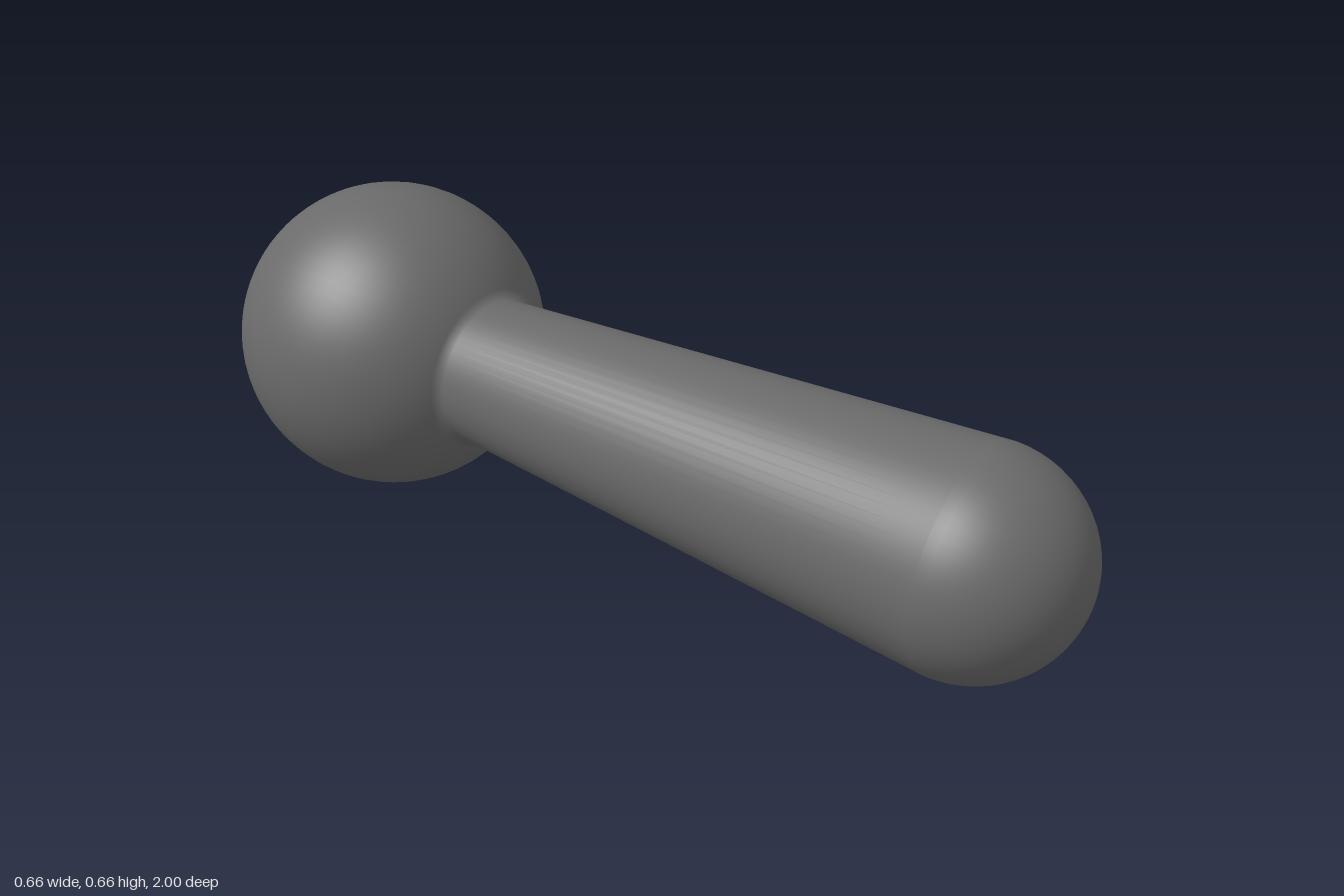
import * as THREE from 'three';

const BALL_R = 0.332, TIP_R = 0.226, NECK_R = 0.157;
const BALL_Z = -1 + BALL_R, TIP_Z = 1 - TIP_R;

// Points (radius, axial position) on a circular arc centred on the axis
function arc(centre, radius, from, to, steps) {
  return Array.from({ length: steps + 1 }, (_, i) => {
    const a = from + (to - from) * i / steps;
    return new THREE.Vector2(Math.max(0, radius * Math.sin(a)), centre - radius * Math.cos(a));
  });
}

export function createModel() {
  const group = new THREE.Group();
  group.name = 'ballEndedHandle';

  // One smooth turned profile: ball, tapered shaft, rounded tip
  const neckAngle = Math.PI - Math.asin(NECK_R / BALL_R);
  const profile = [
    ...arc(BALL_Z, BALL_R, 0, neckAngle, 36),
    ...arc(TIP_Z, TIP_R, Math.PI / 2, Math.PI, 16),
  ];
  const geometry = new THREE.LatheGeometry(profile, 64);
  geometry.rotateX(Math.PI / 2); // axis along z, tip to the front

  const handle = new THREE.Mesh(geometry, new THREE.MeshStandardMaterial({ color: 0x6a6a6a }));
  handle.name = 'handle';
  handle.position.y = BALL_R;
  group.add(handle);
  return group;
}
